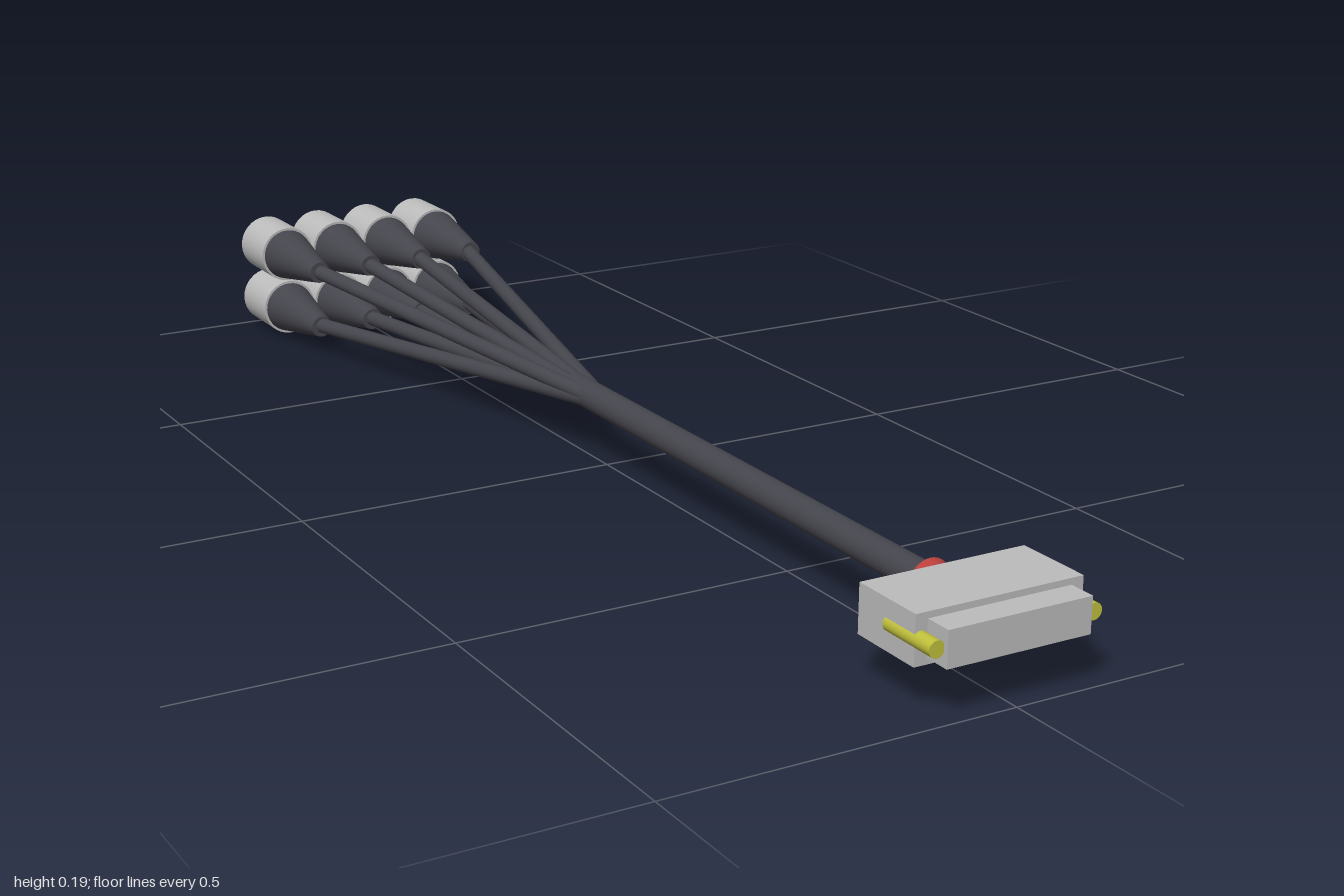
import * as THREE from 'three';

const grey = new THREE.MeshStandardMaterial({ name: 'light grey', color: 0xbcbcbc });
const dark = new THREE.MeshStandardMaterial({ name: 'dark rubber', color: 0x45454d });
const red = new THREE.MeshStandardMaterial({ name: 'red', color: 0xb8403c });
const yellow = new THREE.MeshStandardMaterial({ name: 'brass yellow', color: 0xc0c03c });

const AXIS_Y = 0.098;

export function createModel() {
  const model = new THREE.Group();
  model.name = 'breakoutCable';

  // Round part running from point a (radius ra) to point b (radius rb)
  function rod(name, material, a, b, ra, rb = ra, sides = 32) {
    const from = new THREE.Vector3(...a);
    const to = new THREE.Vector3(...b);
    const dir = to.clone().sub(from);
    const mesh = new THREE.Mesh(new THREE.CylinderGeometry(rb, ra, dir.length(), sides), material);
    mesh.position.copy(from).add(to).multiplyScalar(0.5);
    mesh.quaternion.setFromUnitVectors(new THREE.Vector3(0, 1, 0), dir.normalize());
    mesh.name = name;
    model.add(mesh);
  }

  function box(name, w, h, z0, z1) {
    const mesh = new THREE.Mesh(new THREE.BoxGeometry(w, h, z1 - z0), grey);
    mesh.position.set(0, AXIS_Y, (z0 + z1) / 2);
    mesh.name = name;
    model.add(mesh);
  }

  // Multi-pin connector with its narrower mating face
  box('connectorBody', 0.25, 0.068, 0.845, 0.96);
  box('connectorFace', 0.214, 0.05, 0.95, 1);

  // Retaining screws at both ends of the connector
  for (const s of [-1, 1]) {
    rod('retainingScrew', yellow, [s * 0.117, AXIS_Y, 0.9], [s * 0.117, AXIS_Y, 0.993], 0.0115);
  }

  // Flared strain relief and main cable
  rod('strainRelief', red, [0, AXIS_Y, 0.85], [0, AXIS_Y, 0.818], 0.02, 0.032);
  rod('mainCable', dark, [0, AXIS_Y, 0.85], [0, AXIS_Y, -0.1], 0.022);

  // Eight branches, each with a tapered boot and a round plug
  for (const y of [0.0485, 0.1455]) {
    for (const x of [-0.145, -0.0485, 0.0485, 0.145]) {
      rod('branchWire', dark, [0, AXIS_Y, 0], [x, y, -0.77], 0.0125, 0.0125, 20);
      rod('plugBoot', dark, [x, y, -0.755], [x, y, -0.9], 0.018, 0.0435);
      rod('plugShell', grey, [x, y, -0.9], [x, y, -1], 0.0475);
    }
  }
  return model;
}
